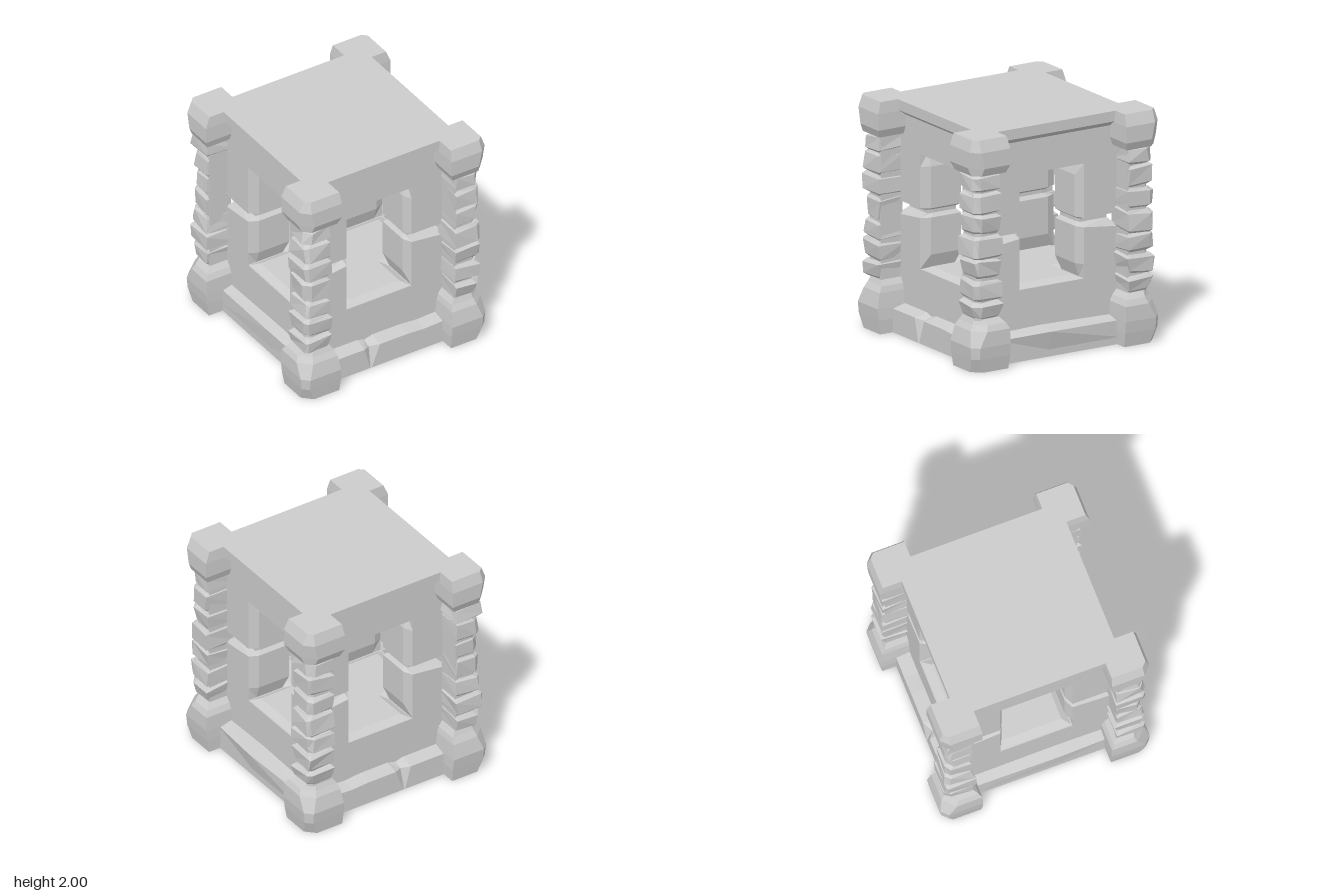
import * as THREE from 'three';

const material = new THREE.MeshStandardMaterial({ color: 0xcccccc, flatShading: true });

// Solid through a list of equal-length rings of [x, y, z], capped at both ends
function loft(name, rings) {
  const n = rings[0].length, tris = [];
  const centre = r => [0, 1, 2].map(k => r.reduce((s, p) => s + p[k], 0) / n);
  for (let i = 0; i < rings.length - 1; i++) {
    for (let j = 0; j < n; j++) {
      const a = rings[i][j], b = rings[i][(j + 1) % n];
      const c = rings[i + 1][(j + 1) % n], d = rings[i + 1][j];
      tris.push([a, b, c], [a, c, d]);
    }
  }
  const first = rings[0], last = rings[rings.length - 1];
  const c0 = centre(first), c1 = centre(last);
  for (let j = 0; j < n; j++) {
    const k = (j + 1) % n;
    tris.push([c0, first[k], first[j]], [c1, last[j], last[k]]);
  }
  // Turn the faces outward whichever way the rings run
  const volume = tris.reduce((s, [a, b, c]) => s +
    new THREE.Vector3(...a).dot(new THREE.Vector3(...b).cross(new THREE.Vector3(...c))), 0);
  if (volume < 0) tris.forEach(t => t.reverse());
  const geometry = new THREE.BufferGeometry();
  geometry.setAttribute('position', new THREE.Float32BufferAttribute(tris.flat(2), 3));
  geometry.computeVertexNormals();
  const mesh = new THREE.Mesh(geometry, material);
  mesh.name = name;
  return mesh;
}

// Level rectangle centred on the axis
const rect = (y, hx, hz) => [[hx, y, hz], [hx, y, -hz], [-hx, y, -hz], [-hx, y, hz]];

// Level rectangle in one quadrant with its outermost corner cut off
const cutRect = (y, x0, x1, z0, z1, cut) =>
  [[x0, y, z0], [x1, y, z0], [x1, y, z1 - cut], [x1 - cut, y, z1], [x0, y, z1]];

const mirror = (rings, sx, sz) => rings.map(r => r.map(([x, y, z]) => [x * sx, y, z * sz]));

function seeded(seed) {
  return () => {
    seed = (seed * 16807) % 2147483647;
    return seed / 2147483647 * 2 - 1;
  };
}

// Wall corner between two windows: chamfered jambs and a crack round the middle
function wallRings() {
  const ring = (y, jamb, face, ch) => [
    [0.32, y, face], [jamb, y, face - ch], [jamb, y, jamb],
    [face - ch, y, jamb], [face, y, 0.32], [face, y, face]];
  const rings = [
    ring(0.5, 0.32, 0.66, 0.08), ring(0.58, 0.32, 0.66, 0.08),
    ring(0.70, 0.28, 0.66, 0.08), ring(1.02, 0.28, 0.66, 0.08),
    ring(1.05, 0.31, 0.59, 0.05), ring(1.08, 0.31, 0.59, 0.05),
    ring(1.10, 0.28, 0.66, 0.08), ring(1.46, 0.28, 0.66, 0.08),
    ring(1.57, 0.32, 0.66, 0.08), ring(1.6, 0.32, 0.66, 0.08)];
  rings[3][5][1] = 0.98; // crack opens toward the outer corner
  return rings;
}

// Rough stone of a pillar, with uneven corners and a tilted bed
function stoneRings(y0, y1, rand) {
  const tx = rand() * 0.09, tz = rand() * 0.09, cut = 0.035 + rand() * 0.025;
  const wide = [0.122 + rand() * 0.012, 0.122 + rand() * 0.012];
  const layer = (y, half, rough) =>
    cutRect(y, 0.738 - half, 0.738 + half, 0.757 - half, 0.757 + half, cut).map(([x, , z]) => [
      x + rand() * rough, y + tx * (x - 0.738) + tz * (z - 0.757) + rand() * rough * 0.5, z + rand() * rough]);
  return [
    layer(y0 + 0.006, wide[0] - 0.025, 0.004), layer(y0 + 0.03, wide[0], 0.012),
    layer(y1 - 0.03, wide[1], 0.012), layer(y1 - 0.006, wide[1] - 0.025, 0.004)];
}

// Plinth run along x at the front, split by a V-shaped notch
function notchedSkirt(sz) {
  const section = (xTop, xBase, z, y, back) => [
    [xBase, 0, 0.78], [xTop, y, z], [xTop, back, 0.65], [xTop, back, 0.5], [xBase, 0, 0.5]];
  return mirror([
    section(-0.6, -0.6, 0.78, 0.205, 0.235), section(-0.22, -0.165, 0.78, 0.205, 0.235),
    section(-0.15, -0.15, 0.73, 0.185, 0.215), section(-0.07, -0.135, 0.78, 0.205, 0.235),
    section(0.2, 0.2, 0.78, 0.205, 0.235), section(0.36, 0.36, 0.78, 0.195, 0.22),
    section(0.6, 0.6, 0.78, 0.205, 0.23)], 1, sz);
}

// Plinth run along z, bulging between its ends
function bulgedSkirt(sx, xEnd, xMid, zMid) {
  const section = (z, x, y) => [
    [xEnd, 0, z], [xEnd, 0.06, z], [x, y, z], [0.65, y + 0.03, z], [0.5, y + 0.03, z], [0.5, 0, z]];
  return mirror([section(-0.6, xEnd, 0.205), section(zMid, xMid, 0.222),
    section(0.6, xEnd, 0.21)], sx, 1);
}

export function createModel() {
  const model = new THREE.Group();
  model.name = 'stoneBlock';

  // Solid floor and roof with an overhanging cornice
  model.add(loft('floor', [rect(0, 0.66, 0.66), rect(0.58, 0.66, 0.66)]));
  model.add(loft('roof', [
    rect(1.57, 0.66, 0.66), rect(1.86, 0.66, 0.66), rect(1.91, 0.73, 0.73), rect(2, 0.73, 0.73)]));

  // Raised sills running through the crossing windows
  model.add(loft('sillFrontBack', [rect(0.575, 0.32, 0.66), rect(0.61, 0.25, 0.58)]));
  model.add(loft('sillSides', [rect(0.575, 0.66, 0.32), rect(0.61, 0.58, 0.25)]));

  // Plinth on all four sides
  model.add(loft('frontSkirt', notchedSkirt(1)));
  model.add(loft('backSkirt', notchedSkirt(-1)));
  model.add(loft('leftSkirt', bulgedSkirt(1, 0.77, 0.805, 0.1)));
  model.add(loft('rightSkirt', bulgedSkirt(-1, 0.745, 0.758, 0.18)));

  // Four corners: wall, foot, stacked stones and head
  const beds = [0.44, 0.60, 0.78, 0.955, 1.16, 1.34, 1.535, 1.70];
  const foot = [
    cutRect(0, 0.55, 0.88, 0.575, 0.905, 0.08), cutRect(0.12, 0.545, 0.9, 0.57, 0.92, 0.05),
    cutRect(0.22, 0.55, 0.91, 0.57, 0.93, 0.06), cutRect(0.35, 0.565, 0.905, 0.575, 0.9, 0.1),
    cutRect(0.40, 0.58, 0.88, 0.6, 0.87, 0.09), cutRect(0.445, 0.61, 0.84, 0.64, 0.85, 0.06)];
  const head = [
    cutRect(1.69, 0.57, 0.88, 0.6, 0.9, 0.06), cutRect(1.76, 0.54, 0.91, 0.575, 0.93, 0.1),
    cutRect(1.90, 0.54, 0.91, 0.575, 0.93, 0.07), cutRect(2, 0.55, 0.87, 0.585, 0.9, 0.04)];
  const core = [cutRect(0.4, 0.62, 0.83, 0.64, 0.85, 0.04), cutRect(1.75, 0.62, 0.83, 0.64, 0.85, 0.04)];
  let seed = 11;
  for (const sx of [1, -1]) {
    for (const sz of [1, -1]) {
      const corner = new THREE.Group();
      corner.name = (sz > 0 ? 'front' : 'back') + (sx > 0 ? 'Left' : 'Right') + 'Corner';
      const rand = seeded(seed += 7919);
      const add = (name, rings) => corner.add(loft(name, mirror(rings, sx, sz)));
      add('wall', wallRings());
      add('pillarFoot', foot);
      add('pillarCore', core);
      for (let i = 0; i < beds.length - 1; i++) add('pillarStone', stoneRings(beds[i], beds[i + 1], rand));
      add('pillarHead', head);
      model.add(corner);
    }
  }
  return model;
}
